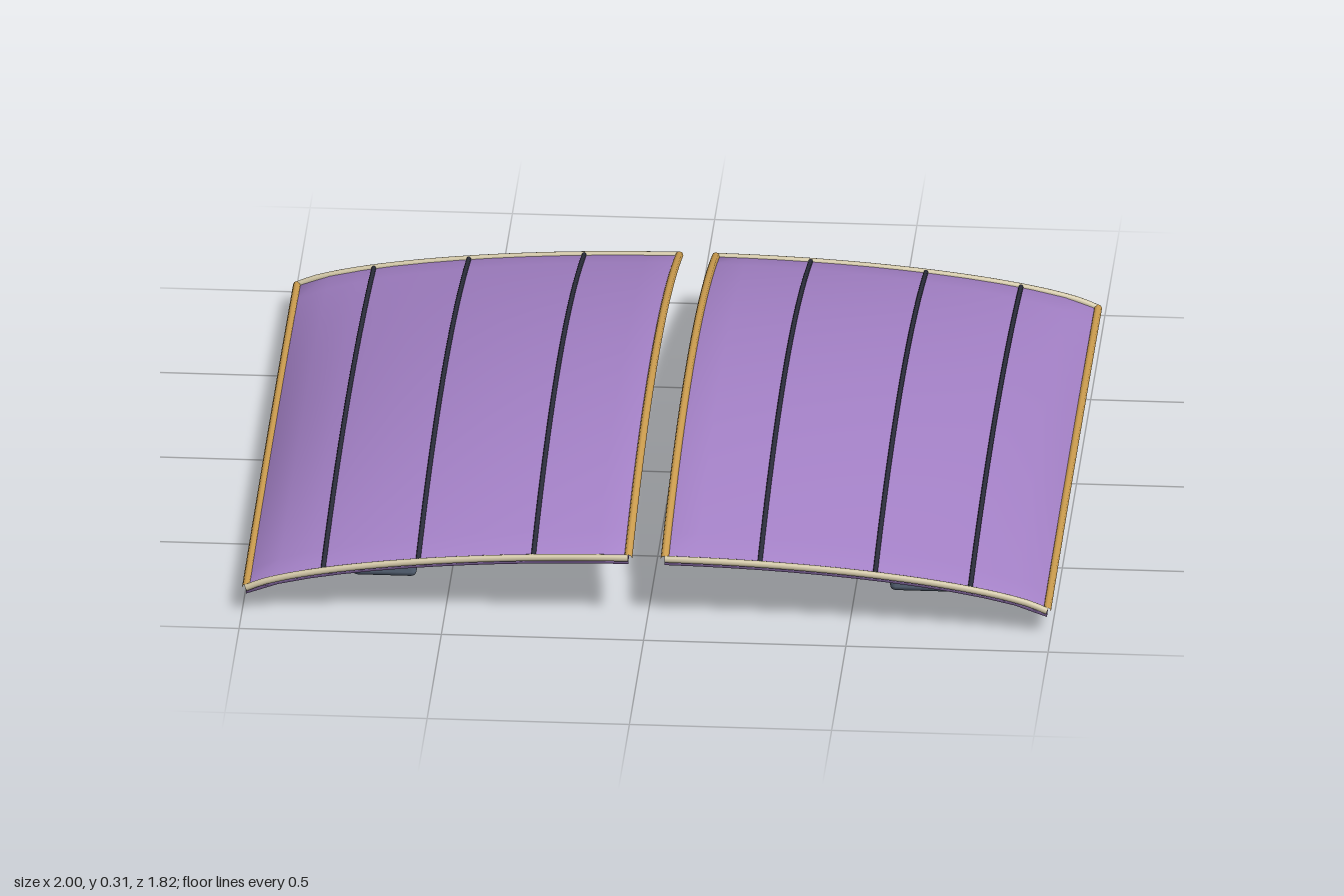
import * as THREE from 'three';
import { RoundedBoxGeometry } from 'three/addons/geometries/RoundedBoxGeometry.js';

const mat = (name, color) => {
  const m = new THREE.MeshStandardMaterial({ color });
  m.name = name;
  return m;
};

const INNER = 0.045, OUTER = 0.99, END = 0.9, THICK = 0.016;

// Height of the domed surface: rounded across x, gently arched along z
const height = (x, z) =>
  0.056 + 0.24 * Math.pow(1 - x * x, 0.65) * (1 - 0.5 * (z / END) ** 2);

// Closed curved shell between x0 and x1, smooth over its edges
function shell(x0, x1, nx = 12, nz = 18) {
  const pos = [], idx = [], ring = 2 * (nx + 1);
  for (let j = 0; j <= nz; j++) {
    const z = -END + (2 * END * j) / nz;
    for (let k = 0; k < ring; k++) {
      const top = k <= nx;
      const x = x0 + ((x1 - x0) * (top ? k : ring - 1 - k)) / nx;
      pos.push(x, height(x, z) - (top ? 0 : THICK), z);
    }
  }
  for (let j = 0; j < nz; j++) {
    for (let k = 0; k < ring; k++) {
      const a = j * ring + k, b = j * ring + ((k + 1) % ring);
      idx.push(a, a + ring, b, b, a + ring, b + ring);
    }
  }
  // End walls
  const last = nz * ring;
  for (let i = 0; i < nx; i++) {
    const t = i, t1 = i + 1, b = ring - 1 - i, b1 = ring - 2 - i;
    idx.push(t, t1, b1, t, b1, b);
    idx.push(last + t, last + b1, last + t1, last + t, last + b, last + b1);
  }
  const g = new THREE.BufferGeometry();
  g.setAttribute('position', new THREE.Float32BufferAttribute(pos, 3));
  g.setIndex(idx);
  g.computeVertexNormals();
  return g;
}

// Thin rod following the surface from one (x, z) to another
function rod(xa, za, xb, zb, radius, lift) {
  const pts = [];
  for (let i = 0; i <= 24; i++) {
    const x = THREE.MathUtils.lerp(xa, xb, i / 24);
    const z = THREE.MathUtils.lerp(za, zb, i / 24);
    pts.push(new THREE.Vector3(x, height(x, z) + lift, z));
  }
  return new THREE.TubeGeometry(new THREE.CatmullRomCurve3(pts), 36, radius, 8);
}

export function createModel() {
  const purple = mat('purple panel', 0xa582c8);
  const gold = mat('gold trim', 0xd0a050);
  const cream = mat('cream trim', 0xcfc4a4);
  const dark = mat('dark seam', 0x2c2e3c);
  const slate = mat('slate foot', 0x566375);

  const model = new THREE.Group();
  model.name = 'splitRoofPanels';

  for (const s of [-1, 1]) {
    const side = new THREE.Group();
    side.name = s > 0 ? 'leftPanel' : 'rightPanel';
    const add = (name, geo, material) => {
      const m = new THREE.Mesh(geo, material);
      m.name = name;
      side.add(m);
      return m;
    };

    add('panelShell', s > 0 ? shell(INNER, OUTER) : shell(-OUTER, -INNER), purple);

    // Long trims along the inner and outer edges
    add('innerTrim', rod(s * INNER, -END, s * INNER, END, 0.01, 0), gold);
    add('outerTrim', rod(s * OUTER, -END, s * OUTER, END, 0.01, 0), gold);

    // Short trims, seams and feet
    for (const e of [-1, 1]) {
      add(e > 0 ? 'frontTrim' : 'backTrim',
        rod(s * INNER, e * END, s * OUTER, e * END, 0.009, 0), cream);
      add(e > 0 ? 'frontFoot' : 'backFoot',
        new RoundedBoxGeometry(0.16, 0.055, 0.18, 2, 0.014), slate)
        .position.set(s * 0.665, 0.0275, e * 0.58);
    }
    for (const x of [0.28, 0.565, 0.8]) {
      add('seam', rod(s * x, -END, s * x, END, 0.006, 0.001), dark);
    }
    model.add(side);
  }
  return model;
}
